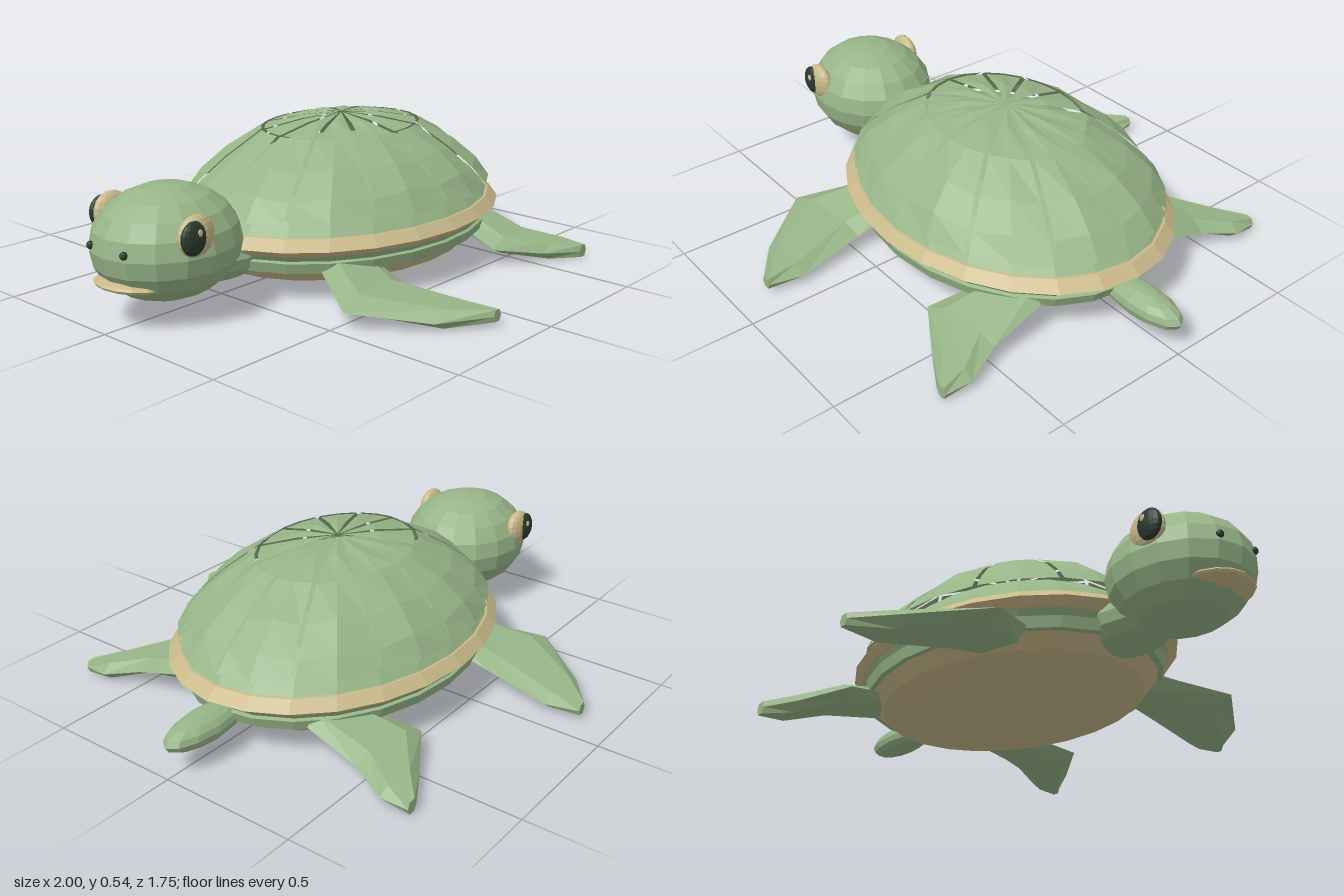
import * as THREE from 'three';

const mat = (name, color, extra = {}) =>
  new THREE.MeshStandardMaterial({ name, color, flatShading: true, ...extra });

// Surface through rows of [x, y, z] points; closed wraps each row, caps fill both ends
function loft(rows, closed = false) {
  const pos = [];
  const tri = (a, b, c) => pos.push(...a, ...b, ...c);
  const n = rows[0].length;
  for (let i = 0; i < rows.length - 1; i++) {
    for (let j = 0; j < (closed ? n : n - 1); j++) {
      const k = (j + 1) % n;
      tri(rows[i][j], rows[i + 1][j], rows[i + 1][k]);
      tri(rows[i][j], rows[i + 1][k], rows[i][k]);
    }
  }
  if (closed) {
    for (const [row, end] of [[rows[0], 0], [rows[rows.length - 1], 1]]) {
      for (let j = 1; j < n - 1; j++) {
        if (end) tri(row[0], row[j + 1], row[j]);
        else tri(row[0], row[j], row[j + 1]);
      }
    }
  }
  const g = new THREE.BufferGeometry();
  g.setAttribute('position', new THREE.Float32BufferAttribute(pos, 3));
  g.computeVertexNormals();
  return g;
}

export function createModel() {
  const model = new THREE.Group();
  model.name = 'turtle';
  const green = mat('skinGreen', 0x97b588, { side: THREE.DoubleSide });
  const tan = mat('sandTan', 0xc9b98a);
  const dark = mat('eyeDark', 0x2b3a2e);

  const add = (name, geo, material, parent = model) => {
    const m = new THREE.Mesh(geo, material);
    m.name = name;
    parent.add(m);
    return m;
  };
  const ellipsoid = (name, material, p, r, w = 16, h = 10) => {
    const m = add(name, new THREE.SphereGeometry(1, w, h), material);
    m.position.set(...p);
    m.scale.set(...r);
    return m;
  };

  // Oval shell: everything is built on a unit circle and stretched
  const shell = new THREE.Group();
  shell.name = 'shell';
  shell.position.x = 0.12;
  shell.scale.set(0.685, 1, 0.53);
  model.add(shell);
  const lathe = (name, pts, material) => add(name,
    new THREE.LatheGeometry(pts.map(p => new THREE.Vector2(...p)), 24), material, shell);

  lathe('belly', [[0, 0.015], [0.35, 0.02], [0.62, 0.036], [0.8, 0.065], [0.88, 0.11]], tan);
  lathe('body', [[0.86, 0.108], [0.91, 0.112], [0.93, 0.15], [0.91, 0.155], [0.94, 0.18],
    [0.93, 0.235], [0.86, 0.285], [0.72, 0.35], [0.5, 0.41], [0.25, 0.435], [0, 0.44]], green);
  lathe('rim', [[0.9, 0.172], [0.95, 0.178], [1, 0.203], [0.94, 0.238], [0.9, 0.24]], tan);

  // Twelve side plates and twelve crown wedges with narrow gaps and a raised middle
  const plate = (name, a, profile, bulge) => {
    const half = Math.PI / 12;
    const rows = profile.map(([r, y], i) => {
      const gap = Math.min(0.014 / r, half * 0.9);
      const edge = i === 0 || i === profile.length - 1;
      return [-1, 0, 1].map(s => {
        const t = a + s * (half - gap);
        return [r * Math.cos(t), y - (s && !edge ? bulge : 0), r * Math.sin(t)];
      });
    });
    add(name, loft(rows), green, shell);
  };
  for (let i = 0; i < 12; i++) {
    const a = (i + 0.5) * Math.PI / 6;
    plate('sidePlate', a, [[0.94, 0.285], [0.85, 0.36], [0.7, 0.437], [0.485, 0.51]], 0.015);
    plate('crownPlate', a, [[0.465, 0.51], [0.25, 0.543], [0.02, 0.55]], 0.008);
  }

  // Head, neck and tail
  ellipsoid('head', green, [-0.735, 0.255, 0], [0.262, 0.193, 0.235]);
  ellipsoid('neck', green, [-0.5, 0.165, 0], [0.2, 0.1, 0.14], 12, 8);
  ellipsoid('tail', green, [0.82, 0.122, 0], [0.18, 0.053, 0.07], 12, 8);
  const beak = ellipsoid('beak', tan, [-0.875, 0.15, 0], [0.125, 0.025, 0.135]);
  beak.rotation.z = -0.08;

  // Flipper from leading and trailing edge points: [xLead, zLead, xTrail, zTrail, y, thickness]
  const flipper = (name, sections, side) => {
    const rows = sections.map(([x0, z0, x1, z1, y, t]) =>
      [[0, 0], [0.25, 1], [0.8, 0.85], [1, 0], [0.8, -0.9], [0.25, -0.9]].map(([u, v]) =>
        [x0 + (x1 - x0) * u, y + v * t, side * (z0 + (z1 - z0) * u)]));
    add(name, loft(rows, true), green);
  };
  const front = [
    [-0.33, 0.3, -0.1, 0.3, 0.125, 0.045], [-0.475, 0.535, -0.12, 0.49, 0.066, 0.034],
    [-0.3, 0.76, -0.08, 0.75, 0.037, 0.035], [-0.14, 0.875, -0.1, 0.875, 0.045, 0.022]];
  const rear = [
    [0.43, 0.28, 0.64, 0.28, 0.125, 0.045], [0.36, 0.535, 0.655, 0.49, 0.07, 0.034],
    [0.53, 0.645, 0.71, 0.62, 0.04, 0.035], [0.655, 0.72, 0.7, 0.72, 0.033, 0.025]];

  for (const s of [1, -1]) {
    flipper('frontFlipper', front, s);
    flipper('rearFlipper', rear, s);
    // Eye, pupil, glint and nostril
    ellipsoid('eye', tan, [-0.792, 0.325, s * 0.208], [0.072, 0.07, 0.034]);
    ellipsoid('pupil', dark, [-0.817, 0.326, s * 0.226], [0.05, 0.056, 0.024]);
    ellipsoid('eyeGlint', tan, [-0.808, 0.345, s * 0.246], [0.012, 0.013, 0.005], 8, 6);
    ellipsoid('nostril', dark, [-0.975, 0.277, s * 0.082], [0.014, 0.014, 0.014], 8, 6);
  }
  return model;
}
